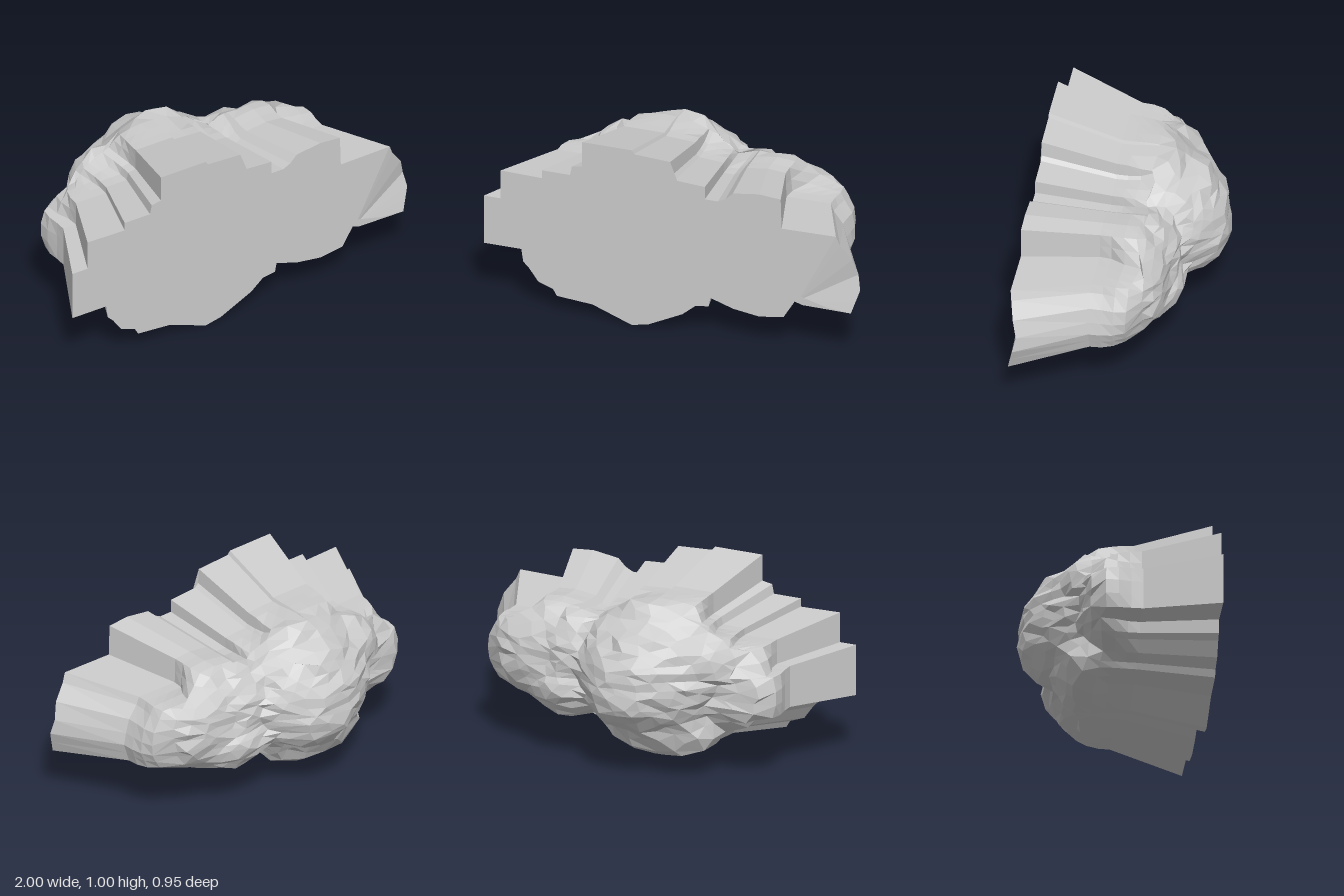
import * as THREE from 'three';

// Stepped outline of the flat front, counter-clockwise, as [x, y]
const OUTLINE = [
  [1, 0.4], [0.985, 0.48], [0.96, 0.57], [0.9, 0.65], [0.88, 0.7], [0.59, 0.695], [0.585, 0.86],
  [0.47, 0.87], [0.33, 0.85], [0.29, 0.81], [0.25, 0.79], [0.18, 0.79], [0.18, 0.86], [0.02, 0.87],
  [0, 0.89], [-0.005, 0.97], [-0.2, 0.98], [-0.21, 1], [-0.475, 1], [-0.475, 0.86], [-0.53, 0.85],
  [-0.54, 0.8], [-0.69, 0.8], [-0.69, 0.755], [-0.91, 0.76], [-0.91, 0.6], [-1, 0.6], [-1, 0.33],
  [-0.8, 0.33], [-0.79, 0.26], [-0.76, 0.23], [-0.71, 0.16], [-0.63, 0.13], [-0.61, 0.095],
  [-0.42, 0.08], [-0.21, 0], [-0.12, 0.02], [0.06, 0.11], [0.13, 0.17], [0.2, 0.18], [0.21, 0.23],
  [0.33, 0.19], [0.47, 0.17], [0.6, 0.19], [0.66, 0.29], [0.7, 0.277], [0.96, 0.275],
];

// Rounded masses of the back: centre x, y, z and radii x, y, z
const LUMPS = [
  [-0.14, 0.53, -0.1, 0.4, 0.34, 0.35],
  [-0.12, 0.5, -0.29, 0.26, 0.25, 0.18],
  [-0.14, 0.6, -0.28, 0.24, 0.22, 0.14],
  [0.41, 0.52, 0, 0.4, 0.3, 0.255],
  [0.27, 0.55, -0.05, 0.2, 0.25, 0.24],
  [0.3, 0.4, -0.08, 0.24, 0.19, 0.22],
  [-0.6, 0.48, -0.02, 0.27, 0.23, 0.18],
  [-0.2, 0.27, -0.11, 0.33, 0.19, 0.19],
  [-0.22, 0.78, -0.06, 0.25, 0.135, 0.17],
  [-0.14, 0.82, -0.14, 0.2, 0.09, 0.1],
  [-0.41, 0.62, -0.1, 0.23, 0.2, 0.19],
];

const FRONT_Z = 0.475, NECK_Z = 0.09, NECK_SCALE = 0.815, MID_Y = 0.52;

// Seeded value from -1 to 1
let seed = 7;
function jitter() {
  seed = (seed * 16807) % 2147483647;
  return seed / 1073741823.5 - 1;
}

// Split long edges so the sides get even facets
function subdivide(points, maxLength) {
  const out = [];
  points.forEach(([x, y], i) => {
    const [u, v] = points[(i + 1) % points.length];
    const n = Math.ceil(Math.hypot(u - x, v - y) / maxLength);
    for (let k = 0; k < n; k++) out.push([x + (u - x) * k / n, y + (v - y) * k / n]);
  });
  return out;
}

// Farthest exit of a ray from the neck centre through the lumps
function lumpDistance(dir) {
  let best = 0;
  for (const [cx, cy, cz, rx, ry, rz] of LUMPS) {
    const o = new THREE.Vector3(-cx / rx, (MID_Y - cy) / ry, (NECK_Z - cz) / rz);
    const d = new THREE.Vector3(dir.x / rx, dir.y / ry, dir.z / rz);
    const a = d.dot(d), b = o.dot(d), disc = b * b - a * (o.dot(o) - 1);
    if (disc > 0) best = Math.max(best, (-b + Math.sqrt(disc)) / a);
  }
  return best;
}

const along = (dir, t) => [dir.x * t, MID_Y + dir.y * t, NECK_Z + dir.z * t];

// Point behind the neck, where the steps fade into the lumps
function shoulderPoint([x, y], phi) {
  const c = NECK_SCALE * Math.cos(phi);
  const dir = new THREE.Vector3(x * c, (y - MID_Y) * c, -0.5 * Math.sin(phi));
  const blend = THREE.MathUtils.smoothstep(phi, 0.06, 0.52);
  return along(dir, THREE.MathUtils.lerp(1 / Math.cos(phi), lumpDistance(dir), blend));
}

// Closed ring of rough points on the lumps
function lumpRing(count, phi) {
  const ring = { points: [], angles: [] };
  for (let i = 0; i < count; i++) {
    const angle = (i + 0.5 + 0.25 * jitter()) / count * Math.PI * 2;
    const tilt = Math.min(phi + 0.035 * jitter(), Math.PI / 2);
    const dir = new THREE.Vector3(
      0.8 * Math.cos(angle) * Math.cos(tilt), 0.4 * Math.sin(angle) * Math.cos(tilt), -0.5 * Math.sin(tilt));
    ring.points.push(along(dir, lumpDistance(dir) * (1 + 0.025 * jitter())));
    ring.angles.push(angle);
  }
  return ring;
}

// Zip two rings with different point counts, matching them by angle
function zip(front, back) {
  const n = front.points.length, m = back.points.length, index = [];
  const angleAt = (ring, k) => {
    const count = ring.angles.length;
    return ring.angles[k % count] + Math.floor(k / count) * Math.PI * 2;
  };
  let i = 0, j = 0;
  while (i < n || j < m) {
    const a = i % n, b = n + j % m;
    if (j === m || (i < n && angleAt(front, i + 1) <= angleAt(back, j + 1))) {
      index.push(a, b, ++i % n);
    } else {
      index.push(a, b, n + ++j % m);
    }
  }
  return makeGeometry([...front.points, ...back.points], index);
}

// Skin a list of equal closed rings running from front to back
function skin(rings) {
  const n = rings[0].length, index = [];
  for (let j = 0; j < rings.length - 1; j++) {
    for (let i = 0; i < n; i++) {
      const a = j * n + i, b = j * n + (i + 1) % n;
      index.push(a, a + n, b, b, a + n, b + n);
    }
  }
  return makeGeometry(rings.flat(), index);
}

function makeGeometry(points, index) {
  const g = new THREE.BufferGeometry();
  g.setAttribute('position', new THREE.Float32BufferAttribute(points.flat(), 3));
  g.setIndex(index);
  g.computeVertexNormals();
  return g;
}

export function createModel() {
  const group = new THREE.Group();
  const material = new THREE.MeshStandardMaterial({ color: 0xcccccc, flatShading: true });
  const add = (name, geometry, parent = group) => {
    const mesh = new THREE.Mesh(geometry, material);
    mesh.name = name;
    parent.add(mesh);
  };

  const outline = subdivide(OUTLINE, 0.11);
  // The left end of the front is worn back a little, in facets that meet at one point
  const isWorn = (x) => x > 0.87;
  const front = outline.map(([x, y]) => {
    const wear = isWorn(x) ? Math.max(0, 1 - Math.abs(y - 0.48) / 0.2) : 0;
    return [x, y, FRONT_Z - 0.045 * wear];
  });
  const inner = front.map(([x, y]) => isWorn(x)
    ? [0.68, 0.3, FRONT_Z]
    : [0.17 + (x - 0.17) * 0.65, 0.5 + (y - 0.5) * 0.65, FRONT_Z]);

  // Flat front with a fan in the middle
  const n = front.length, cap = [];
  for (let i = 0; i < n; i++) {
    const k = (i + 1) % n;
    cap.push(i, k, n + i, k, n + k, n + i, 2 * n, n + i, n + k);
  }
  add('frontFace', makeGeometry([...front, ...inner, [0.17, 0.5, FRONT_Z]], cap));

  // Stepped sides narrowing to the neck, then fading into the lumps
  const shoulder = [0, 0.12, 0.24, 0.36].map((phi) => outline.map((p) => shoulderPoint(p, phi)));
  add('taperedSides', skin([front, shoulder[0]]));
  add('shoulder', skin(shoulder));

  // Lumpy faceted back, with fewer points per ring towards the pole
  const back = new THREE.Group();
  back.name = 'lumpyBack';
  group.add(back);
  const angles = [];
  outline.forEach(([x, y], i) => {
    const angle = Math.atan2((y - MID_Y) / 0.4, x / 0.8);
    angles.push(i > 0 && angle < angles[i - 1] - 3 ? angle + Math.PI * 2 : angle);
  });
  let last = { points: shoulder.at(-1), angles };
  [48, 46, 42, 38, 34, 28, 22, 15, 8, 1].forEach((count, i) => {
    const ring = lumpRing(count, 0.5 + i * 0.119);
    add('backBand', zip(last, ring), back);
    last = ring;
  });
  return group;
}
